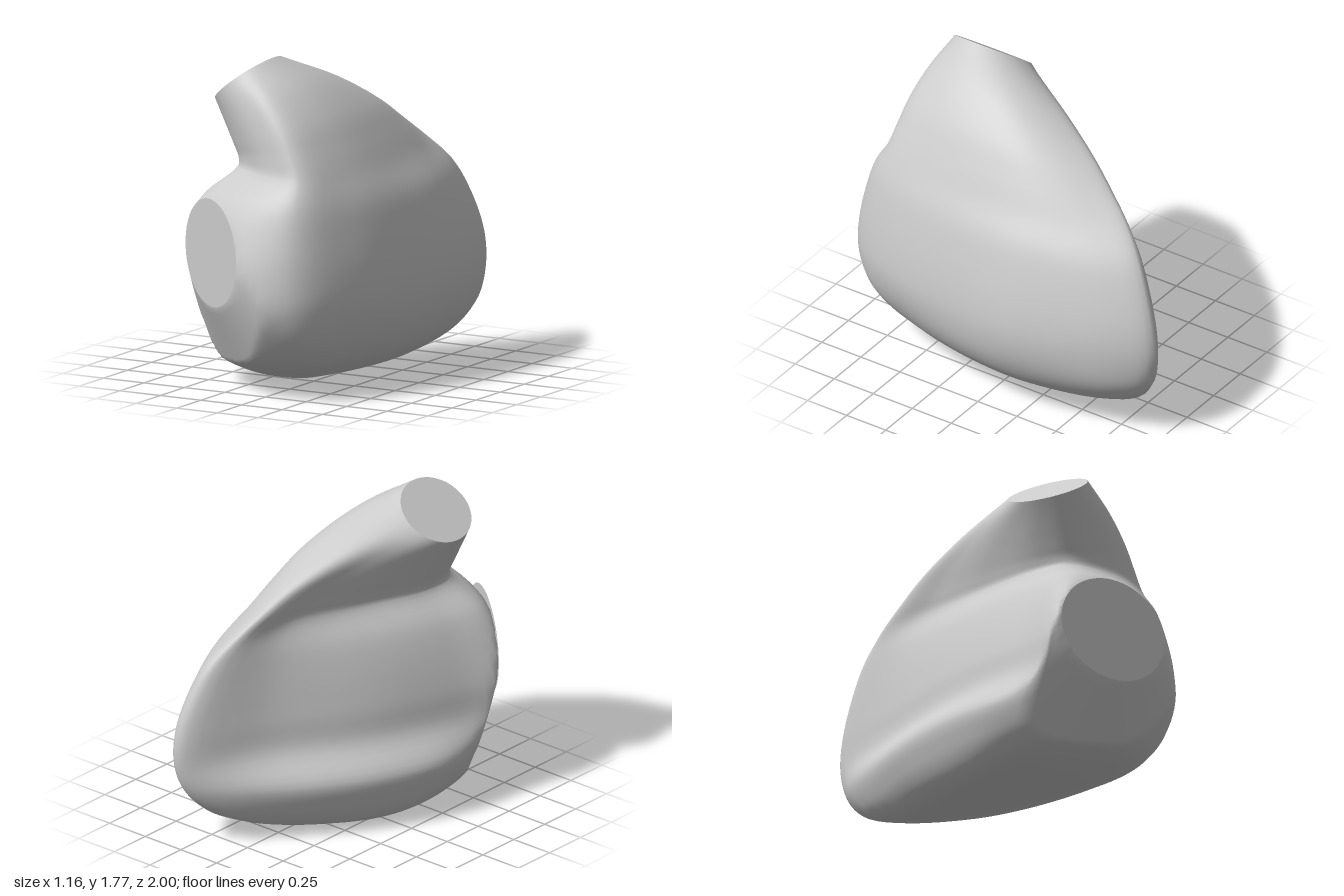
import * as THREE from 'three';

const AROUND = 72, UP = 70, POINTS = 12;

// Level outlines as x,z pairs: back tip, outer wall, front, valve side, hollow inner wall
const outline = (...v) => Array.from({ length: POINTS }, (_, i) => new THREE.Vector3(v[2 * i], 0, v[2 * i + 1]));
const FOOT = outline(0.26, -0.95, 0.4, -0.79, 0.52, -0.3, 0.51, 0.1, 0.41, 0.55, 0.27, 0.85,
  0, 0.91, -0.28, 0.81, -0.52, 0.6, -0.57, 0.3, -0.45, -0.1, -0.14, -0.58);
const BELLY = outline(0.28, -1, 0.43, -0.81, 0.565, -0.3, 0.55, 0.1, 0.46, 0.57, 0.28, 0.92,
  0, 1.02, -0.34, 0.97, -0.63, 0.74, -0.52, 0.4, -0.32, -0.1, -0.02, -0.57);
const NECK = outline(0.1, -0.67, 0.2, -0.56, 0.33, -0.28, 0.37, 0.1, 0.33, 0.48, 0.22, 0.76,
  0.05, 0.76, -0.12, 0.68, -0.26, 0.56, -0.27, 0.36, -0.15, 0, 0, -0.38);
const MOUTH = FOOT.map((_, i) => {
  const a = i / POINTS * Math.PI * 2;
  return new THREE.Vector3(-0.29 + 0.16 * Math.sin(a), 0, 0.44 - 0.22 * Math.cos(a));
});
const POLE = FOOT.map(() => new THREE.Vector3(-0.22, 0, -0.05));

// Blend two outlines and lay the result on a level (or sloping) plane
const blend = (from, to, t, height, slope = 0, pivot = 0) => from.map((p, i) => {
  const q = p.clone().lerp(to[i], t);
  return q.setY(height + slope * (q.x - pivot));
});

const SECTIONS = [
  // rounded underside
  POLE,
  blend(POLE, FOOT, 0.25, 0.01),
  blend(POLE, FOOT, 0.5, 0.045),
  blend(POLE, FOOT, 0.7, 0.1),
  blend(POLE, FOOT, 0.88, 0.19),
  blend(POLE, FOOT, 1, 0.33),
  // belly, narrowing to the neck
  blend(FOOT, BELLY, 0.9, 0.5),
  blend(BELLY, NECK, 0.06, 0.68),
  blend(BELLY, NECK, 0.29, 0.9),
  blend(BELLY, NECK, 0.54, 1.05),
  blend(BELLY, NECK, 0.95, 1.19),
  // neck leaning over into the tilted mouth
  blend(NECK, MOUTH, 0.12, 1.28, 0.15, 0),
  blend(NECK, MOUTH, 0.3, 1.39, 0.33, -0.05),
  blend(NECK, MOUTH, 0.6, 1.52, 0.55, -0.15),
  blend(NECK, MOUTH, 1, 1.645, 0.78, -0.29),
];

// Side valve opening: a flat oval on an upright plane
const VALVE = { centre: new THREE.Vector3(-0.295, 0.76, 0.815), rx: 0.322, ry: 0.29 };
const NORMAL = new THREE.Vector3(-0.57, 0, 0.822).normalize();
const TANGENT = new THREE.Vector3(NORMAL.z, 0, -NORMAL.x);

// Press the bulge flat inside the valve oval, and into a shallow cone around it
function flattenAtValve(p) {
  const d = p.clone().sub(VALVE.centre);
  const r = Math.hypot(d.dot(TANGENT) / VALVE.rx, d.y / VALVE.ry);
  const excess = d.dot(NORMAL) + 0.14 * Math.max(0, r - 1);
  if (excess > 0 && p.y < 1.3) p.addScaledVector(NORMAL, -excess);
  return p;
}

function makeGeometry(points, index) {
  const g = new THREE.BufferGeometry().setFromPoints(points);
  g.setIndex(index);
  g.computeVertexNormals();
  return g;
}

// Flat fan closing a counter-clockwise loop of points
function capGeometry(loop) {
  const n = loop.length, index = [];
  const centre = loop.reduce((s, p) => s.add(p), new THREE.Vector3()).divideScalar(n);
  for (let i = 0; i < n; i++) index.push(n, i, (i + 1) % n);
  return makeGeometry([...loop, centre], index);
}

export function createModel() {
  const group = new THREE.Group();
  const material = new THREE.MeshStandardMaterial({ color: 0xcccccc, side: THREE.DoubleSide });
  const add = (name, geometry) => {
    const mesh = new THREE.Mesh(geometry, material);
    mesh.name = name;
    group.add(mesh);
  };

  // Chamber wall: smooth loft through the sections
  const columns = FOOT.map((_, i) => new THREE.CatmullRomCurve3(SECTIONS.map(s => s[i])));
  const points = [], index = [];
  for (let j = 0; j <= UP; j++) {
    const loop = new THREE.CatmullRomCurve3(columns.map(c => c.getPoint(j / UP)), true);
    for (let i = 0; i < AROUND; i++) {
      points.push(flattenAtValve(loop.getPoint(i / AROUND)));
      if (j === UP) continue;
      const a = j * AROUND + i, b = j * AROUND + (i + 1) % AROUND;
      index.push(a, a + AROUND, b, b, a + AROUND, b + AROUND);
    }
  }
  add('chamberWall', makeGeometry(points, index));

  // Flat closure of the upper mouth
  add('outflowCap', capGeometry(points.slice(-AROUND)));

  // Flat closure of the side valve
  const oval = Array.from({ length: 64 }, (_, i) => {
    const a = i / 64 * Math.PI * 2;
    const p = VALVE.centre.clone().addScaledVector(NORMAL, 0.004);
    p.addScaledVector(TANGENT, VALVE.rx * Math.cos(a));
    p.y += VALVE.ry * Math.sin(a);
    return p;
  });
  add('inflowCap', capGeometry(oval));

  return group;
}
